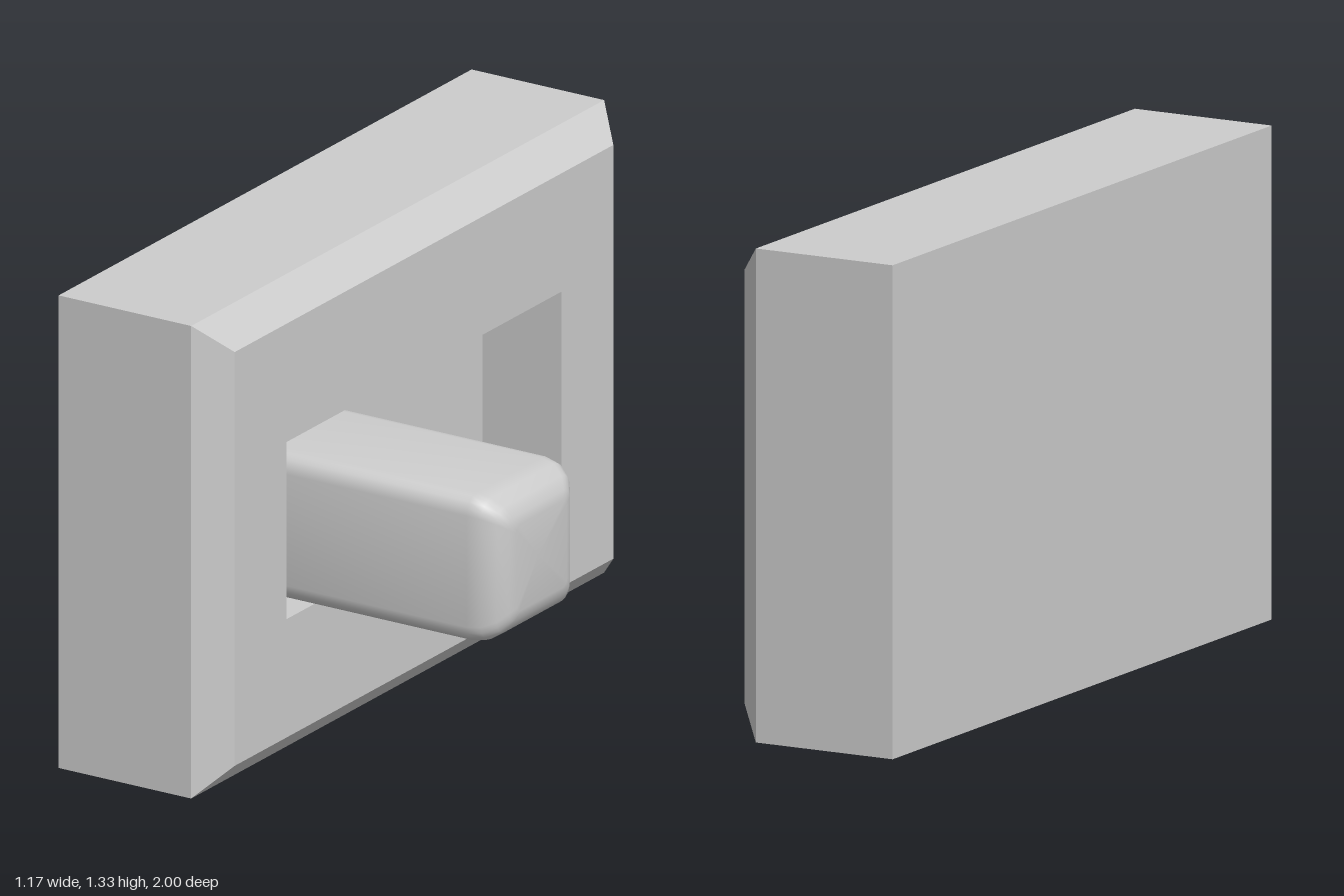
import * as THREE from 'three';
import { toCreasedNormals } from 'three/addons/utils/BufferGeometryUtils.js';

// Rounded rectangle outline in (-z, y), counter-clockwise seen from +x.
function outline(halfZ, halfY, radius = 0, steps = 0) {
  const points = [];
  [[1, 1], [-1, 1], [-1, -1], [1, -1]].forEach(([su, sv], corner) => {
    for (let i = 0; i <= steps; i++) {
      const a = (corner + (steps ? i / steps : 0)) * Math.PI / 2;
      points.push([
        su * (halfZ - radius) + radius * Math.cos(a),
        sv * (halfY - radius) + radius * Math.sin(a),
      ]);
    }
  });
  return points;
}

// Skin a series of outlines along x and close both ends.
function loft(sections, startX, endX) {
  const positions = [];
  const rings = sections.map(({ x, points }) =>
    points.map(([u, v]) => new THREE.Vector3(x, v, -u)));
  const tri = (...corners) => corners.forEach((p) => positions.push(p.x, p.y, p.z));
  const start = new THREE.Vector3(startX, 0, 0);
  const end = new THREE.Vector3(endX, 0, 0);
  const n = rings[0].length;
  const last = rings[rings.length - 1];
  for (let j = 0; j < n; j++) {
    const k = (j + 1) % n;
    tri(start, rings[0][k], rings[0][j]);
    for (let i = 0; i < rings.length - 1; i++) {
      const [lower, upper] = [rings[i], rings[i + 1]];
      tri(lower[j], lower[k], upper[k]);
      tri(lower[j], upper[k], upper[j]);
    }
    tri(end, last[j], last[k]);
  }
  const geometry = new THREE.BufferGeometry();
  geometry.setAttribute('position', new THREE.Float32BufferAttribute(positions, 3));
  geometry.computeVertexNormals();
  return geometry;
}

export function createModel() {
  const group = new THREE.Group();
  const backX = -0.585, bevelX = -0.168, frontX = -0.085, floorX = -0.335;

  // Bevelled block with a rectangular slot sunk into its front face
  const plateSections = [
    [backX, 1, 0.667],
    [bevelX, 1, 0.667],
    [frontX, 0.917, 0.584],
    [frontX, 0.667, 0.25],
    [floorX, 0.667, 0.25],
  ].map(([x, hz, hy]) => ({ x, points: outline(hz, hy) }));
  const plate = new THREE.Mesh(
    loft(plateSections, backX, floorX),
    new THREE.MeshStandardMaterial({ color: 0xcccccc, flatShading: true }),
  );
  plate.name = 'slottedPlate';
  plate.position.y = 0.667;
  group.add(plate);

  // Lever with softened edges, a rounded tip and a slightly dished end
  const half = 0.207;
  const leverSections = [
    [floorX, 0], [0.48, 0], [0.522, 0.008], [0.556, 0.03], [0.576, 0.06], [0.583, 0.085],
  ].map(([x, inset]) => ({
    x,
    points: outline(half - inset, half - inset, 0.05 - inset * 0.35, 4),
  }));
  const lever = new THREE.Mesh(
    toCreasedNormals(loft(leverSections, floorX, 0.573), 0.7),
    new THREE.MeshStandardMaterial({ color: 0xcccccc }),
  );
  lever.name = 'lever';
  lever.position.set(0, 0.668, 0.458);
  group.add(lever);

  return group;
}
